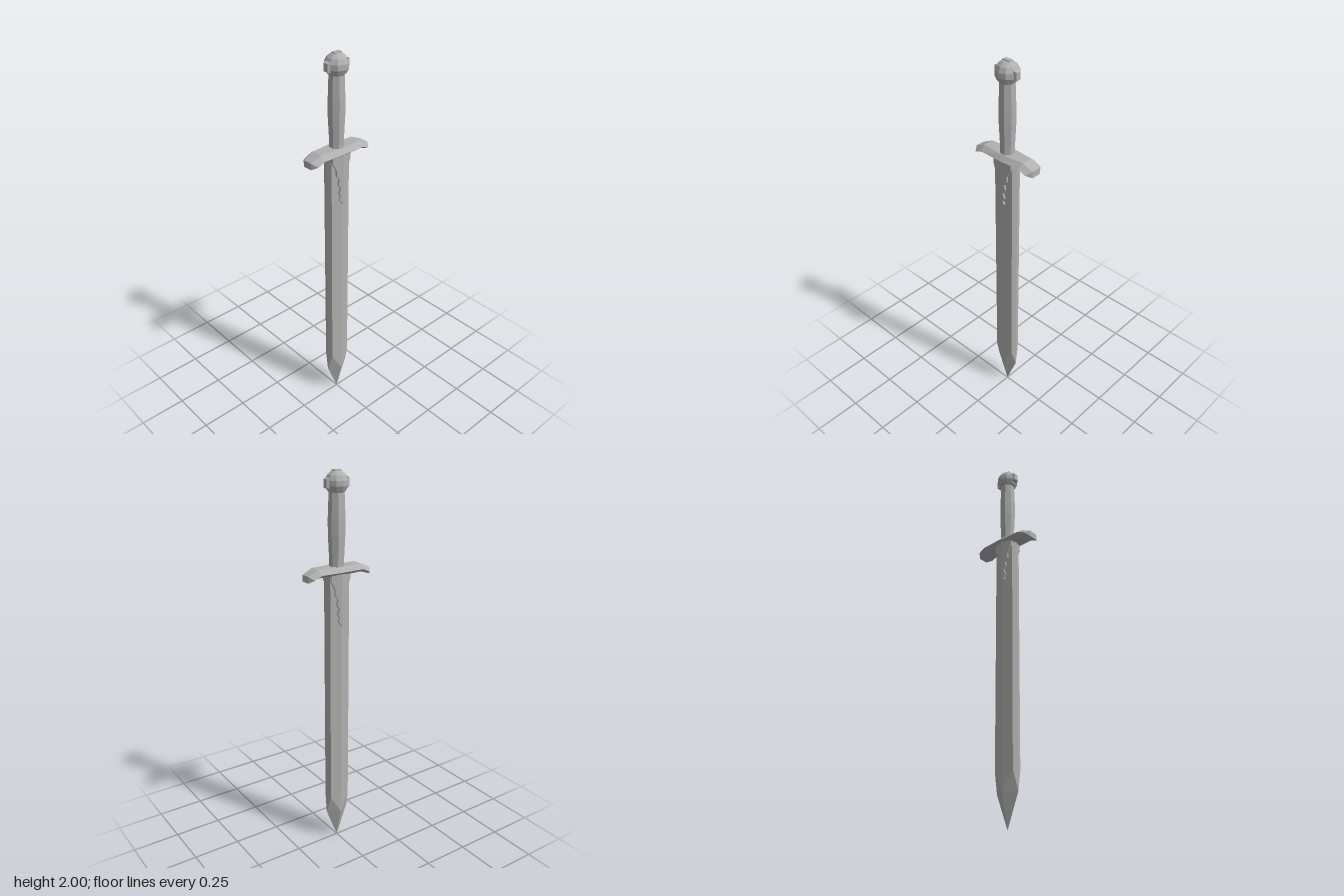
import * as THREE from 'three';

const steel = new THREE.MeshStandardMaterial({ color: 0xb0b0b0, flatShading: true });
steel.name = 'steel grey';

// Skin a list of equal-length rings of [x, y, z] and close both ends
function loft(rings) {
  const pos = [];
  const tri = (...p) => p.forEach((v) => pos.push(...v));
  const n = rings[0].length;
  const middle = (r) => [0, 1, 2].map((k) => r.reduce((s, p) => s + p[k], 0) / n);
  const first = rings[0], last = rings[rings.length - 1];
  const c0 = middle(first), c1 = middle(last);
  for (let i = 0; i < n; i++) {
    const j = (i + 1) % n;
    for (let r = 0; r + 1 < rings.length; r++) {
      const lo = rings[r], hi = rings[r + 1];
      tri(lo[i], hi[j], lo[j]);
      tri(lo[i], hi[i], hi[j]);
    }
    tri(c0, first[i], first[j]);
    tri(c1, last[j], last[i]);
  }
  const g = new THREE.BufferGeometry();
  g.setAttribute('position', new THREE.Float32BufferAttribute(pos, 3));
  g.computeVertexNormals();
  return g;
}

export function createModel() {
  const group = new THREE.Group();
  const add = (name, geometry, x = 0, y = 0, z = 0) => {
    const mesh = new THREE.Mesh(geometry, steel);
    mesh.name = name;
    mesh.position.set(x, y, z);
    group.add(mesh);
    return mesh;
  };

  // Blade: eight-sided section with a low ridge on each face and a faceted point
  const bladeRing = (cornerX, cornerZ, cornerY, y, s = 1) => {
    const ridge = 0.04 * s, edge = 0.066 * s;
    const X = cornerX * s, Z = cornerZ * s;
    return [
      [ridge, y, 0], [X, cornerY, Z], [0, y, edge], [-X, cornerY, Z],
      [-ridge, y, 0], [-X, cornerY, -Z], [0, y, -edge], [X, cornerY, -Z],
    ];
  };
  add('blade', loft([
    bladeRing(0, 0, 0, 0, 0),
    bladeRing(0.02, 0.033, 0.17, 0.17),
    bladeRing(0.027, 0.056, 0.27, 0.17),
    bladeRing(0.027, 0.056, 1.52, 1.52),
  ]));

  // Wavy raised plates below the guard, half on either side of each ridge
  const wave = [
    [0, 1.515], [0.056, 1.515], [0.055, 1.48], [0.035, 1.44], [0.034, 1.41], [0.02, 1.39],
    [0.026, 1.365], [0.013, 1.34], [0.022, 1.315], [0.012, 1.295], [0.02, 1.28], [0, 1.25],
  ];
  for (const face of [1, -1]) {
    for (const half of [1, -1]) {
      const shape = new THREE.Shape(wave.map(([u, v]) => new THREE.Vector2(u * half, v)));
      const g = new THREE.ExtrudeGeometry(shape, { depth: 0.02, bevelEnabled: false });
      const p = g.attributes.position;
      // lean each half back to follow the blade face
      for (let i = 0; i < p.count; i++) p.setZ(i, p.getZ(i) + 0.03 - 0.23 * Math.abs(p.getX(i)));
      g.computeVertexNormals();
      g.rotateY(face * Math.PI / 2);
      add('bladeOrnament', g);
    }
  }

  // Guard: six-sided bar with drooping ends
  const guardRing = (z, flat, top, bottom, mid, midY, midZ) => [
    [flat, top, z], [mid, midY, midZ], [flat, bottom, z],
    [-flat, bottom, z], [-mid, midY, midZ], [-flat, top, z],
  ];
  const guardSide = (s) => [
    guardRing(0.18 * s, 0.025, 1.523, 1.49, 0.025, 1.507, 0.18 * s),
    guardRing(0.18 * s, 0.025, 1.523, 1.49, 0.054, 1.507, 0.16 * s),
    guardRing(0.125 * s, 0.029, 1.548, 1.508, 0.056, 1.525, 0.12 * s),
  ];
  add('guard', loft([
    ...guardSide(-1),
    guardRing(0, 0.04, 1.548, 1.508, 0.06, 1.525, 0),
    ...guardSide(1).reverse(),
  ]));

  // Grip: swelling octagonal handle
  const gripProfile = [[0, 1.53], [0.036, 1.53], [0.038, 1.6], [0.043, 1.7], [0.043, 1.78], [0.038, 1.91], [0, 1.91]];
  add('grip', new THREE.LatheGeometry(
    gripProfile.map(([r, y]) => new THREE.Vector2(r, y)), 8, Math.PI / 8));

  // Pommel: faceted ball with small raised plates on top, front and back
  add('pommel', new THREE.SphereGeometry(0.058, 10, 7), 0, 1.941, 0);
  add('pommelTopPlate', new THREE.BoxGeometry(0.024, 0.014, 0.04), 0, 1.993, 0);
  for (const s of [1, -1]) {
    const plate = new THREE.CylinderGeometry(0.019, 0.026, 0.014, 4, 1, false, Math.PI / 4);
    plate.scale(1, 1, 1.4);
    plate.rotateX(s * Math.PI / 2);
    add('pommelSidePlate', plate, 0, 1.941, s * 0.058);
  }
  return group;
}
